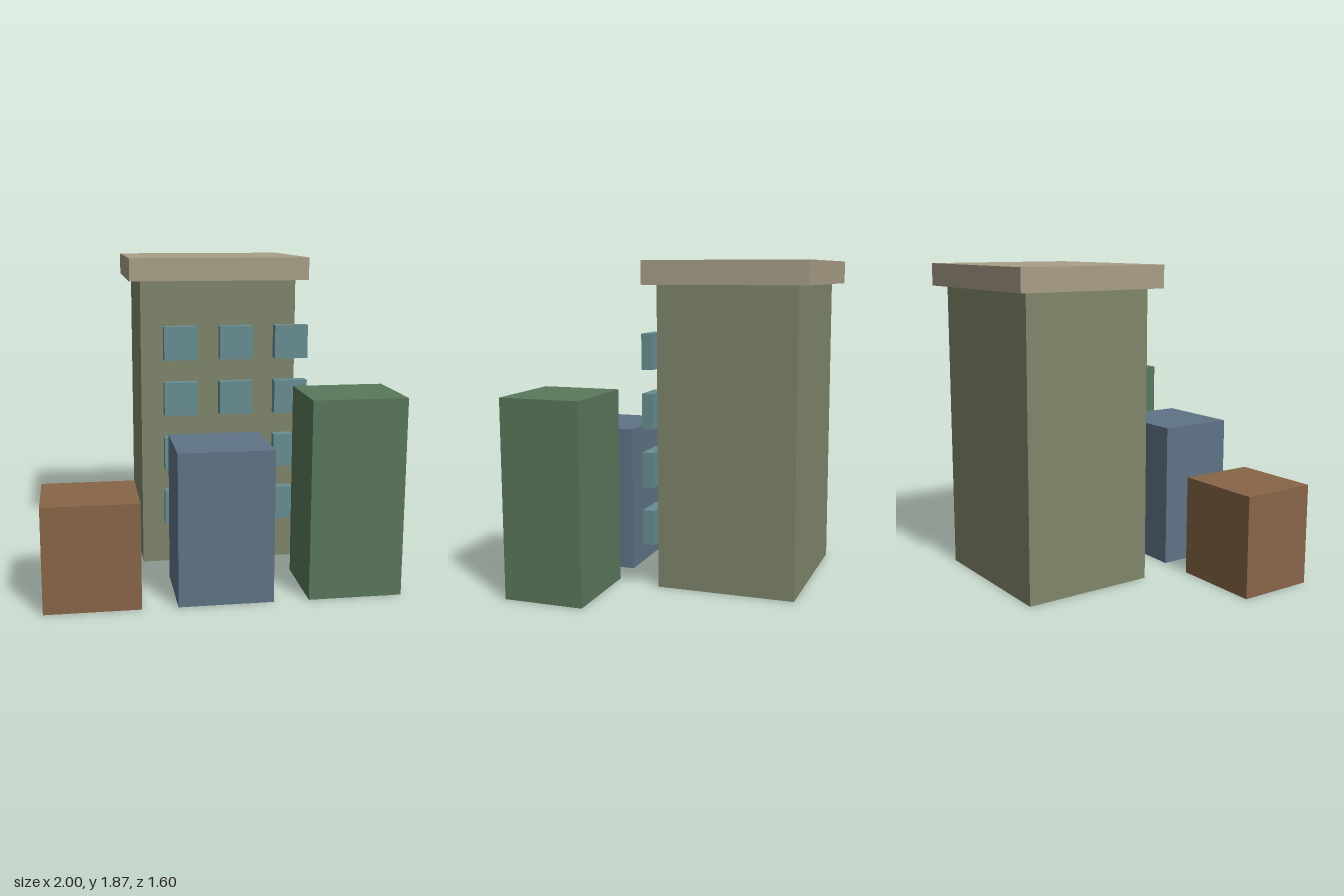
import * as THREE from 'three';

// All sizes are whole multiples of one block unit
const U = 1 / 15;

const material = (color) => new THREE.MeshStandardMaterial({ color, flatShading: true });

// Box from its minimum corner and size, in block units
function block(name, [x, y, z], [w, h, d], mat) {
  const mesh = new THREE.Mesh(new THREE.BoxGeometry(w * U, h * U, d * U), mat);
  mesh.position.set((x + w / 2) * U, (y + h / 2) * U, (z + d / 2) * U);
  mesh.name = name;
  return mesh;
}

export function createModel() {
  const model = new THREE.Group();
  model.name = 'cityBlock';

  // Tall building with an overhanging flat roof
  const tower = new THREE.Group();
  tower.name = 'tower';
  tower.add(
    block('towerBody', [-6, 0, -11], [14, 26, 12], material(0x80866b)),
    block('towerRoof', [-7, 26, -12], [16, 2, 14], material(0xa89f87)),
  );

  // Projecting windows: three columns by four floors
  const windows = new THREE.Group();
  windows.name = 'windows';
  const glass = material(0x688e92);
  for (let floor = 0; floor < 4; floor++) {
    for (let column = 0; column < 3; column++) {
      windows.add(block('window', [-4 + column * 5, 4 + floor * 5, 1], [3, 3, 1], glass));
    }
  }
  tower.add(windows);
  model.add(tower);

  // Row of small buildings in front, rising from right to left
  [
    ['lowBuilding', -15, 9, 0x876547],
    ['middleBuilding', -4, 13, 0x5f7486],
    ['highBuilding', 7, 17, 0x5a785b],
  ].forEach(([name, x, height, color]) => {
    model.add(block(name, [x, 0, 5], [8, height, 7], material(color)));
  });

  return model;
}
